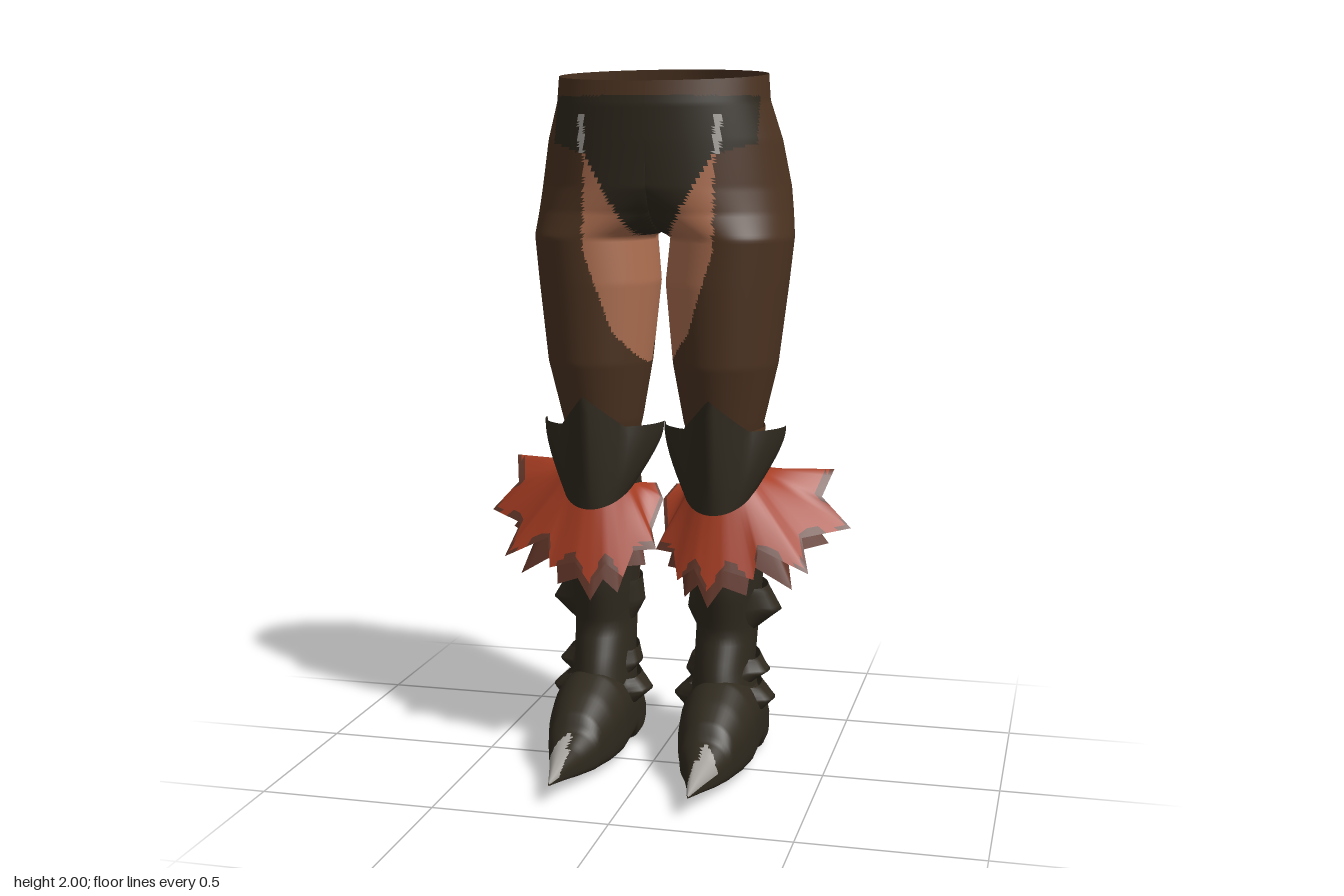
import * as THREE from 'three';

const mat = (name, color) => new THREE.MeshStandardMaterial({ name, color, side: THREE.DoubleSide });

// Piecewise linear lookup in rows sorted by their first column
function at(rows, k) {
  const up = rows[0][0] < rows[rows.length - 1][0];
  let i = 0;
  while (i < rows.length - 2 && (up ? k > rows[i + 1][0] : k < rows[i + 1][0])) i++;
  const a = rows[i], b = rows[i + 1];
  const t = Math.min(1, Math.max(0, (k - a[0]) / (b[0] - a[0])));
  return a.map((n, j) => n + (b[j] - n) * t);
}

// Surface from a rule fn(u, v) -> [x, y, z]; pick(x, y, z, v) gives a material index, or -1 for a gap
function surface(name, mats, nu, nv, closed, fn, pick = () => 0) {
  const pos = [], w = closed ? nu : nu + 1;
  for (let j = 0; j <= nv; j++) for (let i = 0; i < w; i++) pos.push(...fn(i / nu, j / nv));
  const lists = mats.map(() => []);
  const add = (v, ...t) => {
    const c = [0, 1, 2].map(k => (pos[t[0] * 3 + k] + pos[t[1] * 3 + k] + pos[t[2] * 3 + k]) / 3);
    const m = pick(...c, v);
    if (m >= 0) lists[m].push(...t);
  };
  for (let j = 0; j < nv; j++) for (let i = 0; i < nu; i++) {
    const a = j * w + i, b = j * w + (i + 1) % w, c = a + w, d = b + w;
    add(j / nv, a, b, c);
    add(j / nv, b, d, c);
  }
  const g = new THREE.BufferGeometry();
  g.setAttribute('position', new THREE.Float32BufferAttribute(pos, 3));
  g.setIndex(lists.flat());
  let start = 0;
  lists.forEach((l, m) => { g.addGroup(start, l.length, m); start += l.length; });
  g.computeVertexNormals();
  const mesh = new THREE.Mesh(g, mats);
  mesh.name = name;
  return mesh;
}

export function createModel() {
  const dark = mat('darkLeather', 0x2f291e), brown = mat('brownCloth', 0x4c3321);
  const skin = mat('skin', 0xac6e50), red = mat('redCloth', 0xa53c22);
  const hem = mat('hemBrown', 0x633629), silver = mat('paleMetal', 0xa5a19c);
  const strap = mat('strapBrown', 0x553720);

  const side = new THREE.Group();
  side.name = 'leftLeg';

  // Hip half and thigh: y, outer x, centre x front, centre x back, z front, z back
  const hip = [
    [2.0, .30, 0, 0, .09, -.32], [1.92, .305, 0, .03, .1, -.33], [1.8, .337, 0, .08, .1, -.37],
    [1.67, .36, .03, .12, .095, -.405], [1.6, .368, .12, .17, .078, -.37], [1.53, .375, .2, .2, .078, -.335],
    [1.4, .362, .187, .187, .074, -.32], [1.17, .335, .185, .185, .06, -.29],
    [1.0, .295, .18, .18, .02, -.26], [.94, .28, .18, .18, 0, -.25],
  ];
  const briefsFront = [[0, 1.53], [.05, 1.54], [.18, 1.76], [.28, 1.79]];
  const briefsBack = [[0, 1.57], [.15, 1.6], [.23, 1.7], [.3, 1.86]];
  const skinFront = [[1.78, .185], [1.5, .185], [1.27, .11], [1.16, .03]];
  const skinBack = [[1.74, .25], [1.6, .225], [1.45, .17], [1.22, .04]];
  side.add(surface('hipAndThigh', [brown, dark, skin, silver], 144, 130, true, (u, v) => {
    const [y, xo, cf, cb, zf, zb] = at(hip, 2 - v * 1.06);
    const a = u * Math.PI * 2, cx = Math.sin(a) > 0 ? cf : cb;
    const x = Math.max(0, cx + (xo - cx) * Math.cos(a));
    const z = (zf + zb) / 2 + (zf - zb) / 2 * Math.sin(a);
    const tilt = .04 * Math.max(0, (y - 1.8) / .2) * (z - zb) / (zf - zb);
    return [x, y - tilt, z];
  }, (x, y, z) => {
    if (x < 1e-6) return -1;
    const front = z > -.13;
    if (x < .29 && y < (front ? 1.92 : 1.965) && y > at(front ? briefsFront : briefsBack, x)[1]) {
      const strip = front ? x > .182 && x < .202 && y > 1.76 && y < 1.87
        : x > .236 && x < .256 && y > 1.73 && y < 1.86;
      return strip ? 3 : 1;
    }
    const edge = front ? skinFront : skinBack;
    return y < edge[0][0] && y > edge[3][0] && x < at(edge, y)[1] ? 2 : 0;
  }));

  // Boot shaft with bare calf cloth behind: y, outer x, inner x, z front, z back
  const shin = [
    [1.0, .28, .09, 0, -.265], [.9, .28, .09, -.02, -.28], [.75, .288, .08, -.02, -.32],
    [.65, .292, .08, -.02, -.34], [.5, .285, .09, -.025, -.3], [.38, .275, .095, -.045, -.285],
    [.27, .27, .095, 0, -.28], [.2, .28, .09, .02, -.28], [.1, .28, .1, .02, -.27],
  ];
  const ring = (y, u, grow = 0) => {
    const [, xo, xi, zf, zb] = at(shin, y), a = u * Math.PI * 2;
    return [(xo + xi) / 2 + ((xo - xi) / 2 + grow) * Math.cos(a), y,
      (zf + zb) / 2 + ((zf - zb) / 2 + grow) * Math.sin(a)];
  };
  side.add(surface('bootShaft', [dark, brown], 48, 36, true, (u, v) => ring(1 - v * .9, u),
    (x, y, z) => z < -.18 && y > .17 ? 1 : 0));

  // Knee straps: name, material, top y, bottom y, grow top, grow bottom, drop at the back
  for (const [name, m, y1, y0, g1, g0, drop] of [
    ['kneeStrap', strap, .985, .92, .015, .012, 0],
    ['lowerKneeStrap', dark, .93, .88, .01, .022, .04],
  ]) {
    side.add(surface(name, [m], 32, 3, true, (u, v) => {
      const p = ring(y1 + (y0 - y1) * v, u, g1 + (g0 - g1) * v);
      p[1] -= drop * Math.max(0, -Math.sin(u * Math.PI * 2)) * v;
      return p;
    }));
  }

  // Shin straps across the calf, with pointed plates at the sides: name, top, middle, bottom y, points out and in
  for (const [name, y2, y1, y0, out, inn] of [
    ['calfStrap', .51, .44, .38, .055, .012],
    ['ankleStrap', .3, .26, .23, .035, .012],
    ['heelStrap', .22, .18, .12, .045, .045],
  ]) {
    const rows = [[0, y2, .008, .2], [.6, y1, .012, 1], [1, y0, -.004, 0]];
    side.add(surface(name, [dark], 40, 10, true, (u, v) => {
      const [, yy, grow, point] = at(rows, v), a = u * Math.PI * 2, c = Math.cos(a);
      const back = Math.max(0, -Math.sin(a));
      const y = yy + (y1 - yy) * (v > .6 ? .9 * back : 0);
      const p = ring(y, u, Math.sin(a) > .4 ? -.006 : grow);
      p[0] += Math.sign(c) * (c > 0 ? out : inn) * point * Math.pow(Math.abs(c), 6);
      return p;
    }));
  }

  // Pointed boot foot: z, inner x, outer x, bottom y, top y
  const foot = [
    [-.312, .18, .2, .06, .08], [-.31, .1, .285, .005, .13], [-.24, .085, .3, 0, .2],
    [-.16, .08, .305, 0, .25], [-.145, .08, .305, .025, .26], [0, .08, .305, .01, .255],
    [.08, .092, .293, .012, .22], [.155, .115, .272, .016, .178], [.17, .118, .268, .018, .142],
    [.24, .148, .243, .025, .11], [.32, .172, .22, .04, .088], [.405, .193, .197, .055, .062],
  ];
  const bend = (n, e) => Math.sign(n) * Math.pow(Math.abs(n), e);
  side.add(surface('bootFoot', [dark, silver], 40, 60, true, (u, v) => {
    const [z, xi, xo, y0, y1] = at(foot, -.312 + v * .717), a = u * Math.PI * 2;
    const s = Math.sin(a), e = s < 0 ? .4 : .75;
    const taper = 1 - .25 * Math.max(0, s);
    return [(xi + xo) / 2 + (xo - xi) / 2 * bend(Math.cos(a), e) * taper,
      (y0 + y1) / 2 + (y1 - y0) / 2 * bend(s, e), z];
  }, (x, y, z) => {
    const [, , , y0, y1] = at(foot, z);
    return z > .19 && x > (z < .25 ? .19 : .18) && x < .17 + (z - .15) * .8 && y > y0 + (y1 - y0) * .5 ? 1 : 0;
  }));

  // Flared knee guard with a peaked top
  side.add(surface('kneeGuard', [dark], 40, 8, false, (u, v) => {
    const s = u * 2 - 1, c = Math.cos(s * Math.PI / 2), n = Math.sin(s * Math.PI / 2);
    const peak = .1 * Math.max(0, 1 - Math.abs(n) * 1.9);
    const top = .99 + peak, low = .755 + .11 * s * s;
    const r = .178 - .06 * v * v;
    return [.18 + r * n, top + (low - top) * v, -.14 + (.155 + .035 * v) * c + peak * .9 * (1 - v)];
  }));

  // Ragged skirt below the knee: tips and notches from the inner to the outer side
  const rag = [
    [.03, .8, -.16], [0, .76, -.12], [.02, .68, -.06], [.0, .63, -.03], [.06, .63, 0], [.08, .56, .04],
    [.13, .6, .05], [.17, .54, .07], [.22, .6, .055], [.3, .575, .04], [.31, .66, .02], [.45, .59, 0],
    [.42, .68, -.06], [.545, .69, -.175], [.46, .78, -.17], [.485, .85, -.24], [.36, .83, -.25],
  ];
  const skirt = (name, mats, pull, lower, pick) => surface(name, mats, 64, 16, false, (u, v) => {
    const k = at(rag.map((p, i) => [i / 16, ...p]), u);
    const a = Math.PI * (1.05 - 1.2 * u);
    const x0 = .185 + .105 * Math.cos(a), z0 = -.135 + .13 * Math.sin(a), y0 = .8 + .06 * u;
    const x1 = .185 + (k[1] - .185) * pull, z1 = k[3] - (1 - pull) * .05;
    return [x0 + (x1 - x0) * v, y0 + (k[2] - lower - y0) * v, z0 + (z1 - z0) * v];
  }, pick);
  // Worn brown hem of uneven depth along the red edge
  side.add(skirt('raggedSkirt', [red, hem], 1, 0,
    (x, y, z, v) => v > .9 - .06 * Math.sin(x * 60) ? 1 : 0));
  side.add(skirt('raggedUnderskirt', [hem], .82, .05));

  // Mirror the whole leg
  const other = side.clone();
  other.name = 'rightLeg';
  other.scale.x = -1;

  const model = new THREE.Group();
  model.name = 'armouredLegs';
  model.add(side, other);
  return model;
}
